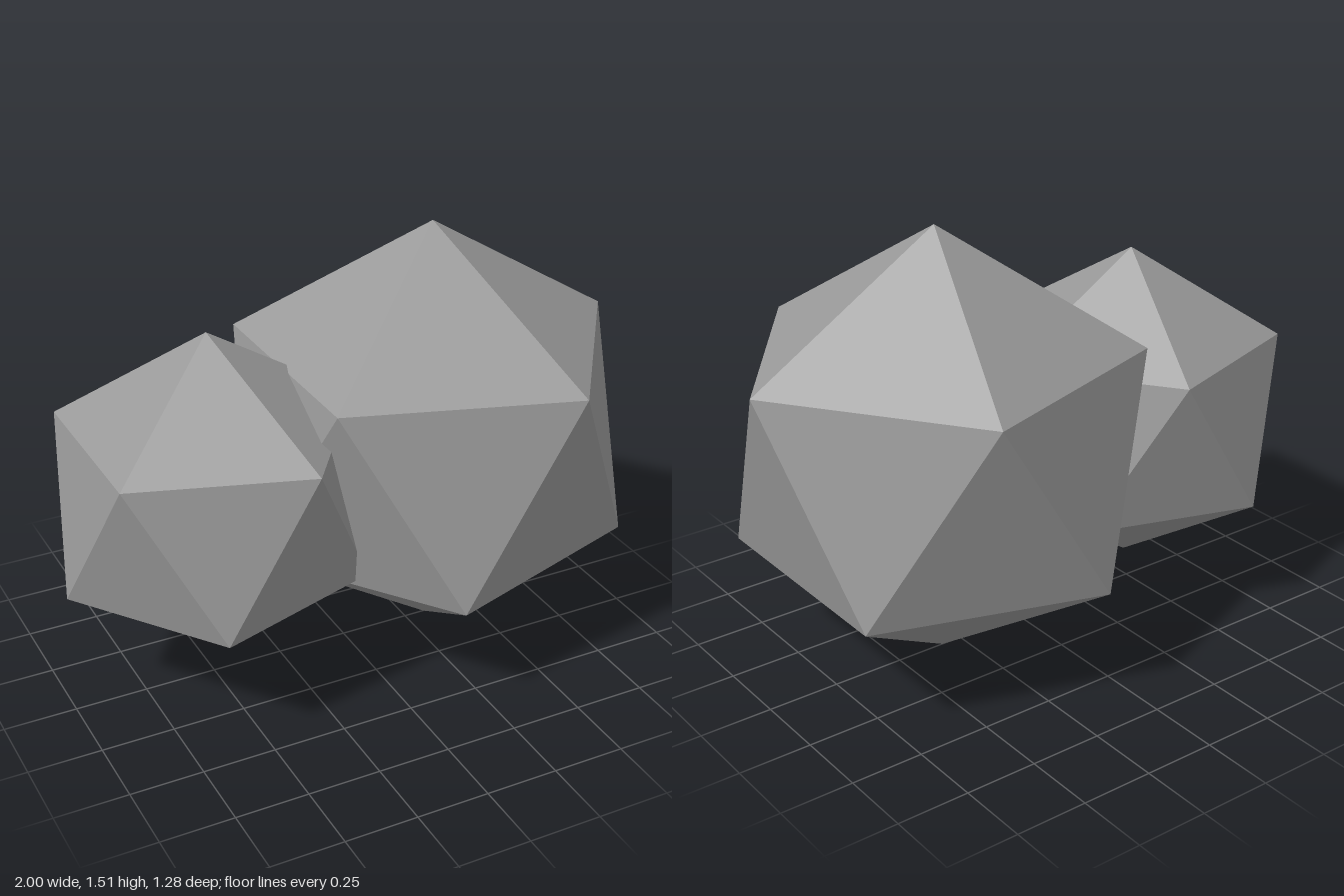
import * as THREE from 'three';

export function createModel() {
  const group = new THREE.Group();
  const material = new THREE.MeshStandardMaterial({ color: 0x999999, flatShading: true });
  const golden = (1 + Math.sqrt(5)) / 2;

  // Icosahedron standing on one vertex, with an upper ring corner towards +x
  function addIcosahedron(name, radius, x, y) {
    const geometry = new THREE.IcosahedronGeometry(radius, 0);
    geometry.rotateZ(-Math.atan(1 / golden));
    const mesh = new THREE.Mesh(geometry, material);
    mesh.name = name;
    mesh.position.set(x, y, 0);
    group.add(mesh);
  }

  // Two overlapping lumps
  addIcosahedron('largeLump', 0.754, 0.325, 0.754);
  addIcosahedron('smallLump', 0.579, -0.482, 0.694);

  return group;
}
